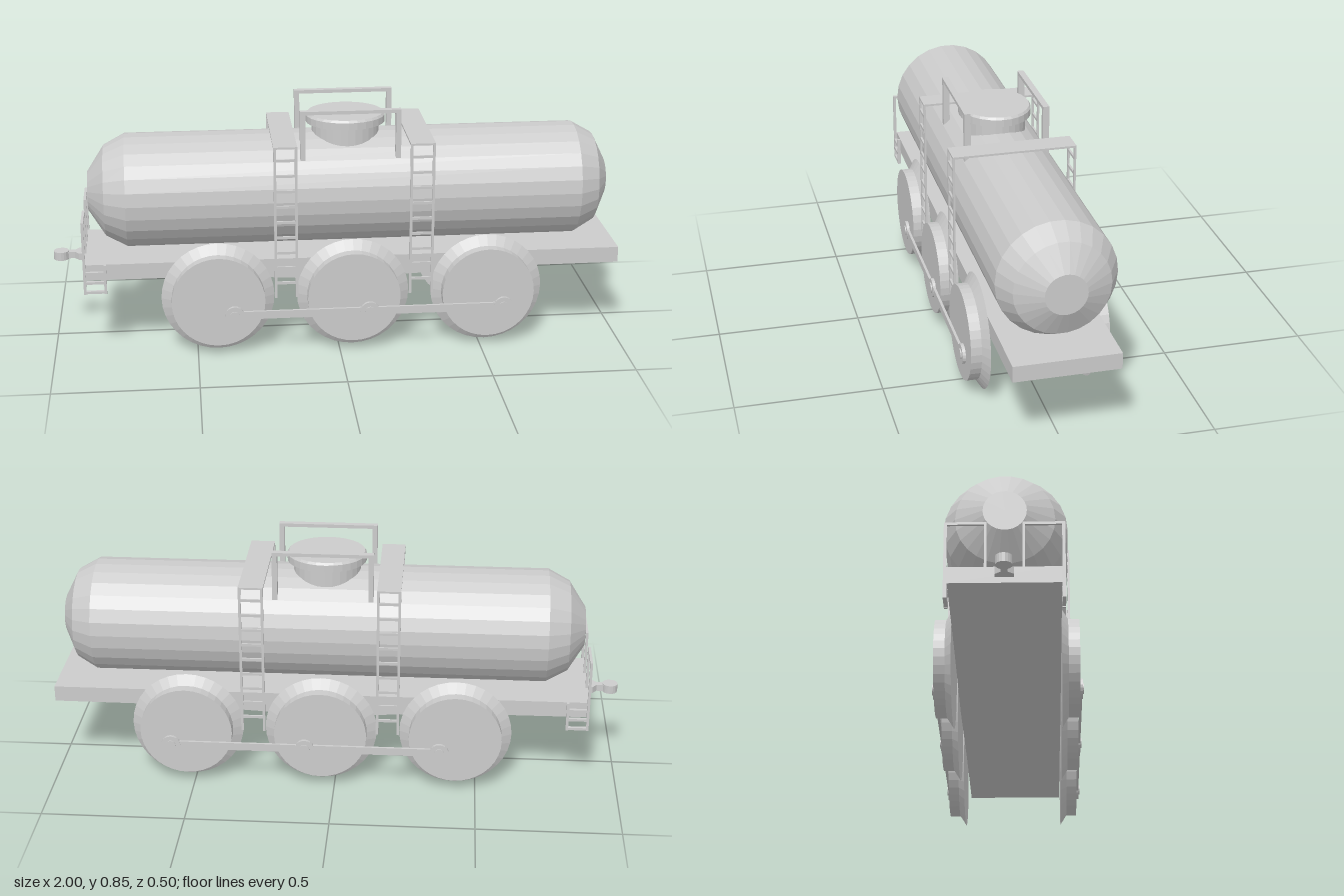
import * as THREE from 'three';

const mat = new THREE.MeshStandardMaterial({ color: 0xcccccc, flatShading: true });
const tankMat = new THREE.MeshStandardMaterial({ color: 0xcccccc, flatShading: true, side: THREE.DoubleSide });

function add(parent, name, geometry, material = mat) {
  const mesh = new THREE.Mesh(geometry, material);
  mesh.name = name;
  parent.add(mesh);
  return mesh;
}

// Box given by its limits on each axis
function box(parent, name, [x0, x1], [y0, y1], [z0, z1]) {
  const mesh = add(parent, name, new THREE.BoxGeometry(x1 - x0, y1 - y0, z1 - z0));
  mesh.position.set((x0 + x1) / 2, (y0 + y1) / 2, (z0 + z1) / 2);
  return mesh;
}

function group(parent, name) {
  const g = new THREE.Group();
  g.name = name;
  parent.add(g);
  return g;
}

// Lathe from [radius, height] pairs
function lathe(points, sides) {
  return new THREE.LatheGeometry(points.map(([r, h]) => new THREE.Vector2(r, h)), sides);
}

// Limits in z mirrored to the chosen side
const zSide = (s, a, b) => (s > 0 ? [a, b] : [-b, -a]);

// Two uprights with evenly spaced rungs
function ladder(parent, name, s, [x0, x1], [y0, y1], [z0, z1], rungs, firstRung, step) {
  const g = group(parent, name);
  const z = zSide(s, z0, z1), w = 0.009;
  box(g, 'ladderUpright', [x0, x0 + w], [y0, y1], z);
  box(g, 'ladderUpright', [x1 - w, x1], [y0, y1], z);
  for (let i = 0; i < rungs; i++) {
    const y = firstRung + i * step;
    box(g, 'ladderRung', [x0 + w, x1 - w], [y, y + 0.009], z);
  }
}

export function createModel() {
  const model = new THREE.Group();
  model.name = 'tankWagon';

  // Flat deck with a slightly deeper belly
  const side = new THREE.Shape();
  [[-0.89, 0.277], [-0.45, 0.275], [0.05, 0.25], [0.55, 0.275], [1, 0.277], [1, 0.333], [-0.89, 0.333]]
    .forEach(([x, y], i) => (i ? side.lineTo(x, y) : side.moveTo(x, y)));
  add(model, 'deck', new THREE.ExtrudeGeometry(side, { depth: 0.356, bevelEnabled: false })).position.z = -0.178;

  // Tank lying along x, with stepped ends
  const tank = add(model, 'tank', lathe([
    [0, -0.868], [0.07, -0.868], [0.16, -0.81], [0.2, -0.735],
    [0.2, 0.855], [0.16, 0.925], [0.07, 0.97], [0, 0.97],
  ], 26), tankMat);
  tank.rotation.z = -Math.PI / 2;
  tank.position.y = 0.546;

  // Hatch: oval neck and overhanging lid
  const neck = add(model, 'hatchNeck', lathe([[0, 0.68], [0.118, 0.68], [0.118, 0.78], [0, 0.78]], 28));
  const lid = add(model, 'hatchLid', lathe([[0, 0.778], [0.139, 0.778], [0.139, 0.803], [0.133, 0.811], [0, 0.811]], 28));
  for (const part of [neck, lid]) {
    part.position.x = 0.04;
    part.scale.z = 0.9;
  }

  // Arched walkway across the tank at each ladder
  const ladderSpans = [[-0.227, -0.145], [0.245, 0.331]];
  for (const span of ladderSpans) box(model, 'walkway', span, [0.744, 0.751], [-0.213, 0.213]);

  for (const s of [1, -1]) {
    const half = group(model, s > 0 ? 'frontSide' : 'backSide');

    // Hatch guard rails
    const guard = group(half, 'hatchGuard');
    const gz = zSide(s, 0.126, 0.148);
    box(guard, 'guardPost', [-0.13, -0.112], [0.66, 0.843], gz);
    box(guard, 'guardPost', [0.202, 0.22], [0.66, 0.843], gz);
    box(guard, 'guardTop', [-0.13, 0.22], [0.843, 0.855], gz);

    // Tall ladders up the tank
    for (const span of ladderSpans) {
      ladder(half, 'tankLadder', s, span, [0.2, 0.745], [0.206, 0.213], 9, 0.25, 0.056);
    }

    // Boarding ladder and railing at the coupler end
    ladder(half, 'boardingLadder', s, [-0.89, -0.81], [0.228, 0.333], [0.178, 0.19], 3, 0.23, 0.035);
    const rail = group(half, 'endRailing');
    box(rail, 'cornerPost', [-0.89, -0.881], [0.333, 0.492], zSide(s, 0.18, 0.19));
    box(rail, 'innerPost', [-0.89, -0.881], [0.333, 0.492], zSide(s, 0.056, 0.064));
    box(rail, 'topRail', [-0.89, -0.881], [0.483, 0.492], zSide(s, 0.064, 0.18));

    // Flanged wheels
    for (const x of [-0.425, 0.05, 0.525]) {
      const wheel = add(half, 'wheel', lathe([
        [0, 0.178], [0.198, 0.178], [0.163, 0.2], [0.163, 0.237], [0, 0.237],
      ], 36));
      wheel.rotation.x = s * Math.PI / 2;
      wheel.position.set(x, 0.2, 0);
    }

    // Connecting rod and its crank pins
    box(half, 'connectingRod', [-0.37, 0.58], [0.137, 0.165], zSide(s, 0.238, 0.247));
    for (const x of [-0.37, 0.105, 0.58]) {
      const pin = add(half, 'crankPin', lathe([
        [0, 0.235], [0.034, 0.235], [0.034, 0.248], [0.018, 0.248], [0.018, 0.252], [0, 0.252],
      ], 20));
      pin.rotation.x = s * Math.PI / 2;
      pin.position.set(x, 0.15, 0);
    }
  }

  // Coupler: flared base, shank and round knob
  const coupler = group(model, 'coupler');
  const plan = new THREE.Shape();
  [[-0.885, -0.03], [-0.91, -0.03], [-0.925, -0.011], [-0.965, -0.011],
    [-0.965, 0.011], [-0.925, 0.011], [-0.91, 0.03], [-0.885, 0.03]]
    .forEach(([x, z], i) => (i ? plan.lineTo(x, z) : plan.moveTo(x, z)));
  const shank = add(coupler, 'couplerShank', new THREE.ExtrudeGeometry(plan, { depth: 0.024, bevelEnabled: false }));
  shank.rotation.x = -Math.PI / 2;
  shank.position.y = 0.297;
  const knob = add(coupler, 'couplerKnob', new THREE.CylinderGeometry(0.027, 0.027, 0.03, 18));
  knob.position.set(-0.973, 0.309, 0);

  return model;
}
